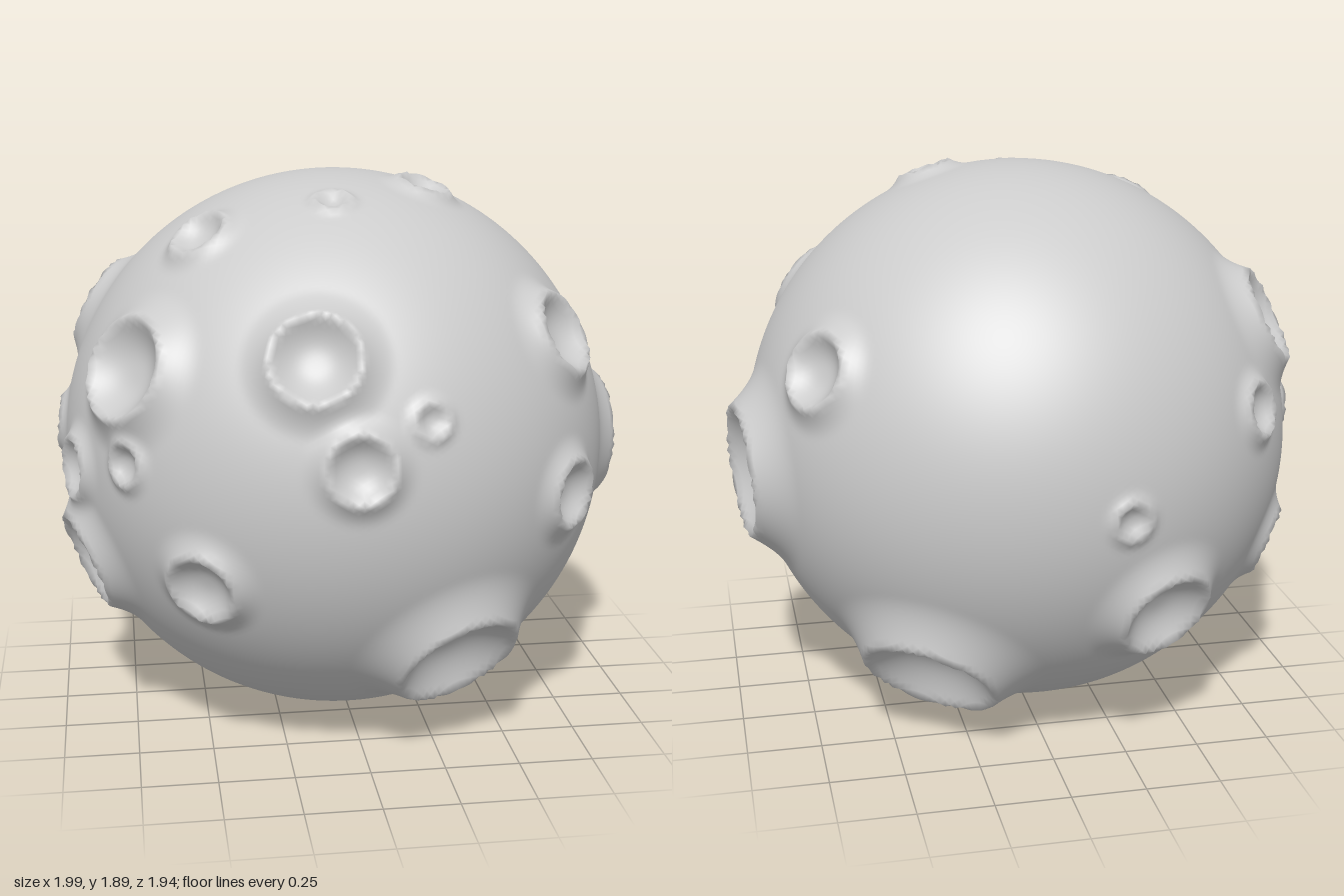
import * as THREE from 'three';
import { mergeVertices } from 'three/addons/utils/BufferGeometryUtils.js';

const RADIUS = 0.945;

// Craters: direction from the centre (x, y, z) and rim radius
const CRATERS = [
  // front
  [-0.17, 0.475, 0.86, 0.145], [-0.04, 0.145, 0.98, 0.11], [0.19, 0.275, 0.9, 0.057],
  [0.72, 0.465, 0.51, 0.14], [0.74, -0.055, 0.68, 0.115], [0.32, -0.595, 0.72, 0.21],
  [-0.52, -0.285, 0.76, 0.12],
  // right-hand side of the front, running round to the flank
  [-0.75, 0.385, 0.52, 0.17], [-0.76, 0.085, 0.6, 0.07], [-0.9, 0, 0.29, 0.1],
  [-0.87, -0.345, 0.24, 0.17], [-0.94, 0.064, -0.073, 0.09],
  // top
  [-0.49, 0.79, 0.31, 0.1], [-0.05, 0.9, 0.36, 0.06], [0.29, 0.9, 0.15, 0.09],
  // left flank
  [0.95, -0.055, -0.13, 0.22], [0.76, 0.385, -0.49, 0.125], [0.4, -0.645, -0.58, 0.225],
  // back
  [-0.78, 0.43, -0.31, 0.165], [-0.681, 0.205, -0.623, 0.09], [-0.175, -0.033, -0.928, 0.062],
  [-0.316, -0.394, -0.8, 0.16], [-0.795, -0.343, -0.377, 0.12],
].map(([x, y, z, r]) => ({ dir: new THREE.Vector3(x, y, z).normalize(), r }));

// Height of a crater at t = distance from its centre / rim radius
function craterHeight(t, r) {
  const rim = 0.36 * r, floor = -0.2 * r, skirt = 0.8;
  if (t < 1) return floor + (rim - floor) * Math.pow(t, 2.6);
  if (t < 1 + skirt) return rim * Math.pow(1 - (t - 1) / skirt, 2);
  return 0;
}

export function createModel() {
  const group = new THREE.Group();

  // Fine icosphere with shared vertices, so its normals come out smooth
  let geometry = new THREE.IcosahedronGeometry(1, 58);
  geometry.deleteAttribute('uv');
  geometry.deleteAttribute('normal');
  geometry = mergeVertices(geometry, 1e-4);

  // Push each vertex in or out by the craters it lies in
  const pos = geometry.attributes.position;
  const v = new THREE.Vector3();
  for (let i = 0; i < pos.count; i++) {
    v.fromBufferAttribute(pos, i).normalize();
    let height = 0;
    for (const { dir, r } of CRATERS) height += craterHeight(v.angleTo(dir) / r, r);
    v.multiplyScalar(RADIUS + height);
    pos.setXYZ(i, v.x, v.y, v.z);
  }
  geometry.computeVertexNormals();

  const moon = new THREE.Mesh(geometry, new THREE.MeshStandardMaterial({ color: 0xcccccc }));
  moon.name = 'crateredMoon';
  moon.position.set(-0.02, RADIUS, -0.03);
  group.add(moon);
  return group;
}
